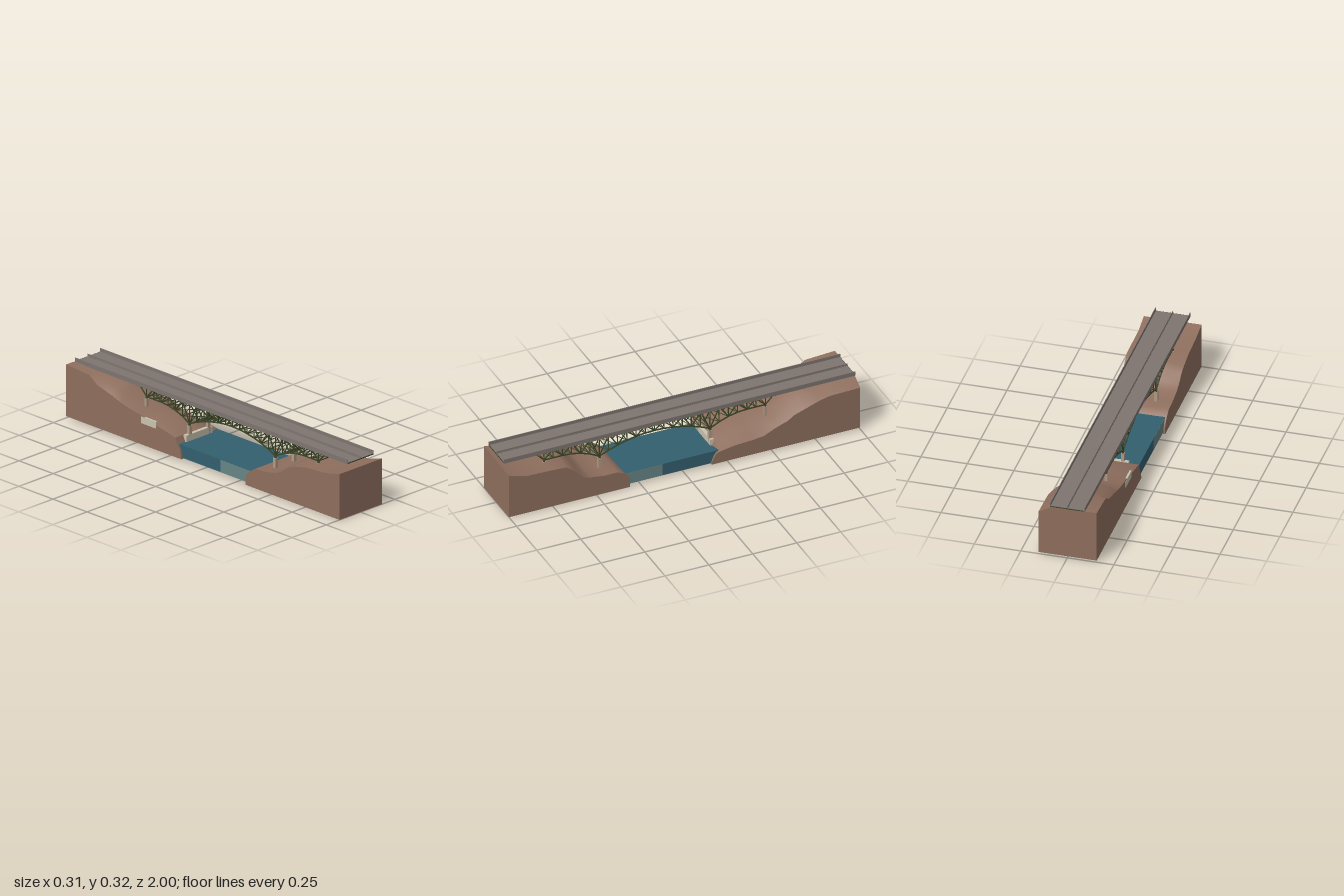
import * as THREE from 'three';
import { mergeGeometries, toCreasedNormals } from 'three/addons/utils/BufferGeometryUtils.js';

const mat = (name, color) => {
  const m = new THREE.MeshStandardMaterial({ color });
  m.name = name;
  return m;
};

export function createModel() {
  const group = new THREE.Group();
  const earth = mat('earth', 0x8f6f5e);
  const water = mat('water', 0x335f70);
  const paleWater = mat('paleWater', 0x678484);
  const road = mat('roadGrey', 0x7e7570);
  const steel = mat('greenSteel', 0x3c4628);
  const pierStone = mat('pierStone', 0xb09a88);
  const concrete = mat('paleConcrete', 0xc9c2ae);

  const add = (name, geo, material) => {
    const m = new THREE.Mesh(geo, material);
    m.name = name;
    group.add(m);
  };
  // box given by its minimum and maximum on each axis
  const box = (x0, x1, y0, y1, z0, z1) =>
    new THREE.BoxGeometry(x1 - x0, y1 - y0, z1 - z0)
      .translate((x0 + x1) / 2, (y0 + y1) / 2, (z0 + z1) / 2);
  // square bar between two points
  const bar = (a, b, t) => {
    const p = new THREE.Vector3(...a), q = new THREE.Vector3(...b);
    const g = new THREE.BoxGeometry(t, t, p.distanceTo(q));
    const o = new THREE.Object3D();
    o.position.copy(p).lerp(q, 0.5);
    o.lookAt(q);
    o.updateMatrix();
    return g.applyMatrix4(o.matrix);
  };

  // Ground blocks: each row is z followed by the heights across x
  const ground = (name, xs, rows, bottom) => {
    const pos = [], idx = [], n = xs.length + 2;
    for (const [z, ...ys] of rows) {
      pos.push(xs[0], bottom, z);
      ys.forEach((y, j) => pos.push(xs[j], y, z));
      pos.push(xs[xs.length - 1], bottom, z);
    }
    for (let i = 0; i < rows.length - 1; i++) {
      for (let j = 0; j < n; j++) {
        const a = i * n + j, b = i * n + (j + 1) % n;
        idx.push(a, b, b + n, a, b + n, a + n);
      }
    }
    const last = (rows.length - 1) * n;
    for (let j = 1; j < n - 1; j++) {
      idx.push(0, j + 1, j, last, last + j, last + j + 1);
    }
    const g = new THREE.BufferGeometry();
    g.setAttribute('position', new THREE.Float32BufferAttribute(pos, 3));
    g.setIndex(idx);
    add(name, toCreasedNormals(g, 0.75), earth);
  };
  ground('frontBank', [-0.154, -0.09, 0, 0.09, 0.156], [
    [1, 0.257, 0.257, 0.257, 0.257, 0.257],
    [0.9, 0.235, 0.232, 0.23, 0.23, 0.228],
    [0.76, 0.225, 0.225, 0.225, 0.225, 0.225],
    [0.67, 0.205, 0.212, 0.222, 0.225, 0.22],
    [0.62, 0.185, 0.19, 0.2, 0.198, 0.18],
    [0.575, 0.15, 0.15, 0.145, 0.14, 0.13],
    [0.53, 0.13, 0.125, 0.12, 0.115, 0.12],
    [0.455, 0.115, 0.112, 0.11, 0.11, 0.11],
    [0.38, 0.11, 0.11, 0.11, 0.11, 0.11],
    [0.345, 0.088, 0.09, 0.09, 0.092, 0.094],
    [0.325, 0.07, 0.07, 0.07, 0.075, 0.08],
    [0.31, 0.04, 0.04, 0.04, 0.05, 0.06],
  ], 0.002);
  ground('backBank', [-0.158, -0.12, 0, 0.09, 0.155], [
    [-0.155, 0.02, 0.02, 0.02, 0.02, 0.02],
    [-0.17, 0.06, 0.06, 0.06, 0.06, 0.055],
    [-0.185, 0.085, 0.085, 0.085, 0.085, 0.075],
    [-0.2, 0.12, 0.12, 0.12, 0.11, 0.08],
    [-0.29, 0.14, 0.15, 0.15, 0.135, 0.095],
    [-0.38, 0.155, 0.165, 0.165, 0.15, 0.1],
    [-0.45, 0.175, 0.175, 0.175, 0.16, 0.107],
    [-0.52, 0.185, 0.19, 0.19, 0.175, 0.14],
    [-0.59, 0.2, 0.21, 0.215, 0.2, 0.165],
    [-0.625, 0.21, 0.225, 0.235, 0.22, 0.19],
    [-0.67, 0.225, 0.255, 0.268, 0.25, 0.205],
    [-0.77, 0.25, 0.272, 0.273, 0.265, 0.24],
    [-0.83, 0.29, 0.295, 0.294, 0.287, 0.253],
    [-1, 0.3, 0.3, 0.294, 0.294, 0.257],
  ], 0.012);

  // River, with a paler stretch on each cut side and a pale bed
  add('river', box(-0.145, 0.145, 0.016, 0.085, -0.2, 0.36), water);
  add('riverBed', box(-0.145, 0.145, 0.0148, 0.016, -0.2, 0.36), paleWater);
  for (const s of [-1, 1]) {
    add('paleRiverSide', box(s * 0.1455 - 0.0006, s * 0.1455 + 0.0006, 0.016, 0.084, 0.12, 0.345), paleWater);
  }

  // Road deck, green end beams, side barriers and slim median
  add('roadDeck', box(-0.092, 0.092, 0.2965, 0.302, -0.998, 0.998), road);
  for (const s of [-1, 1]) {
    add('endBeam', box(-0.092, 0.092, 0.2965, 0.3015, s * 0.999 - 0.001, s * 0.999 + 0.001), steel);
    add('sideBarrier', box(s * 0.0925 - 0.0018, s * 0.0925 + 0.0018, 0.295, 0.32, -1, 1), road);
  }
  add('medianFoot', box(-0.0025, 0.0025, 0.301, 0.306, -1, 1), road);
  add('medianBarrier', box(-0.001, 0.001, 0.306, 0.315, -1, 1), road);

  // Arched deck truss: 24 panels, haunches over the two river piers
  const TOP = 0.292, HALF = 0.068, MID = 0.13, STEP = 0.0525;
  const zAt = k => MID + k * STEP;
  const low = k => {
    const a = Math.abs(k);
    if (a <= 6) return 0.25 - 0.073 * (a / 6) ** 2;
    return 0.238 - 0.061 * Math.max(0, 1 - (a - 6) / 4) ** 2;
  };
  const sides = [], braces = [];
  for (const x of [-HALF, HALF]) {
    sides.push(bar([x, TOP, zAt(-13)], [x, TOP, zAt(13)], 0.006));
    for (let k = -13; k < 13; k++) {
      const node = i => [x, i % 2 ? TOP : low(i), zAt(i)];
      sides.push(bar(node(k), node(k + 1), 0.005));
      if (k > -13) sides.push(bar([x, low(k), zAt(k)], [x, TOP, zAt(k)], 0.004));
      if (k > -13 && k < 12) sides.push(bar([x, low(k), zAt(k)], [x, low(k + 1), zAt(k + 1)], 0.006));
    }
  }
  // Floor beams, sway frames and bottom lateral bracing
  for (let k = -13; k <= 13; k++) {
    const z = zAt(k);
    braces.push(bar([-0.09, TOP + 0.002, z], [0.09, TOP + 0.002, z], 0.006));
    if (Math.abs(k) > 12) continue;
    const y = low(k);
    braces.push(bar([-HALF, y, z], [HALF, y, z], 0.004));
    for (const s of [-1, 1]) {
      if (k % 2 === 0) braces.push(bar([s * HALF, TOP, z], [0, y, z], 0.004));
      if (k < 12) braces.push(bar([s * HALF, y, z], [-s * HALF, low(k + 1), zAt(k + 1)], 0.003));
    }
  }
  // Stringers under the deck
  for (const x of [-0.034, 0, 0.034]) {
    braces.push(box(x - 0.002, x + 0.002, TOP, 0.2965, zAt(-13), zAt(13)));
  }
  add('trussSides', mergeGeometries(sides), steel);
  add('trussBracing', mergeGeometries(braces), steel);

  // Piers under both trusses, [panel, foot height, width]
  for (const [k, foot, w] of [[12, 0.2, 0.014], [6, 0.09, 0.018], [-6, 0.08, 0.018], [-12, 0.155, 0.014]]) {
    for (const x of [-HALF, HALF]) {
      const z = zAt(k), top = low(k) - 0.003;
      add('pier', box(x - w / 2, x + w / 2, foot, top - 0.006, z - w / 2, z + w / 2), pierStone);
      add('bearing', box(x - w / 3, x + w / 3, top - 0.006, top, z - w / 3, z + w / 3), steel);
    }
  }

  // Low retaining wall at the back shore and a small one on the left edge
  add('shoreWall', box(-0.1, 0.09, 0.07, 0.121, -0.197, -0.176), concrete);
  add('edgeWall', box(-0.1585, -0.148, 0.13, 0.168, -0.45, -0.34), concrete);
  return group;
}
